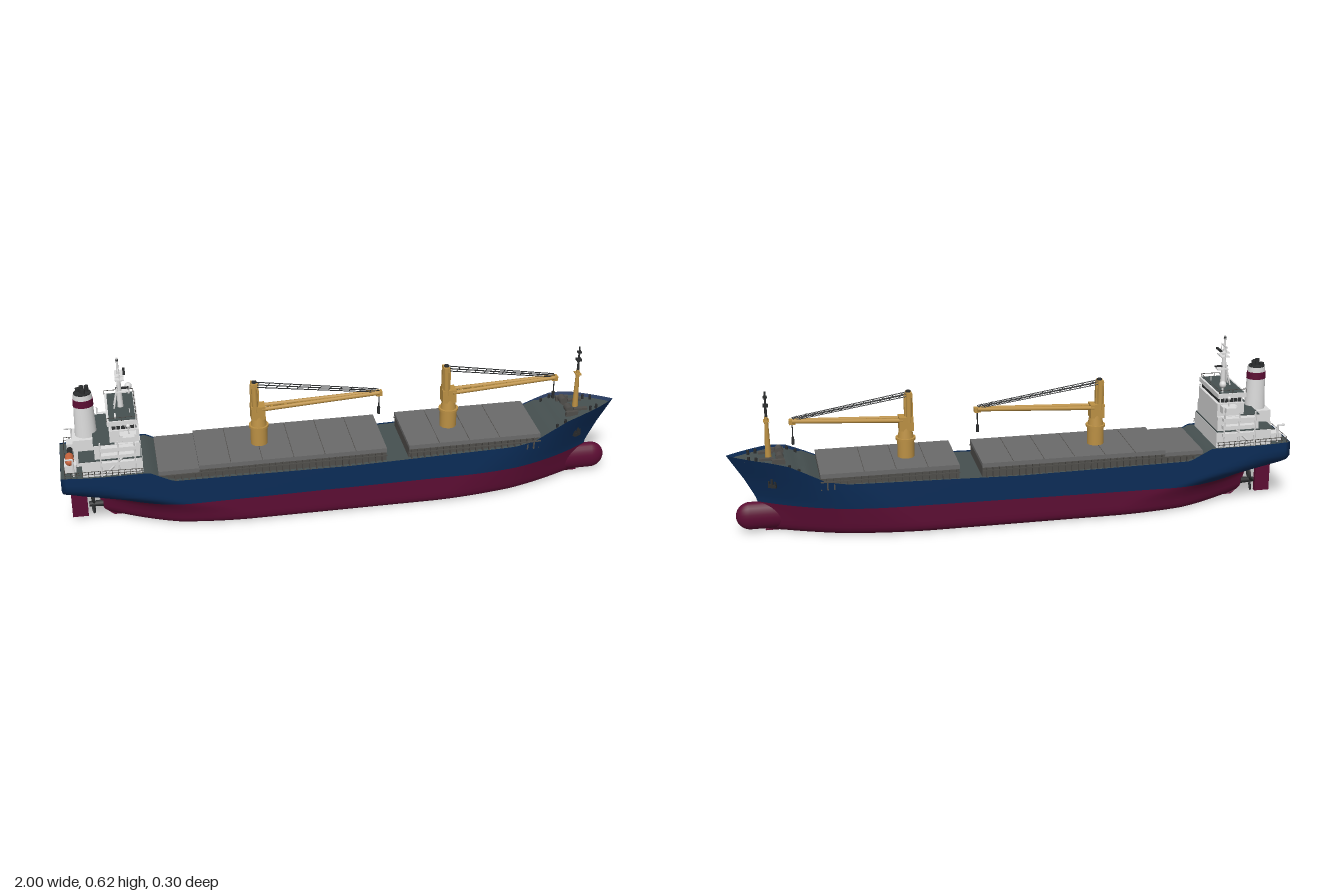
import * as THREE from 'three';
import { mergeGeometries } from 'three/addons/utils/BufferGeometryUtils.js';

const { lerp, clamp, smoothstep } = THREE.MathUtils;
const mat = (name, color) => {
  const m = new THREE.MeshStandardMaterial({ color, side: THREE.DoubleSide });
  m.name = name;
  return m;
};

// small geometry helpers
const box = (w, h, d, x, y, z) => new THREE.BoxGeometry(w, h, d).translate(x, y, z);
const span = (x0, x1, y0, y1, z0, z1) => box(x1 - x0, y1 - y0, z1 - z0, (x0 + x1) / 2, (y0 + y1) / 2, (z0 + z1) / 2);
const cyl = (rTop, rBase, y0, y1, x, z, n = 20) =>
  new THREE.CylinderGeometry(rTop, rBase, y1 - y0, n).translate(x, (y0 + y1) / 2, z);
const ball = (r, x, y, z) => new THREE.SphereGeometry(r, 16, 12).translate(x, y, z);
function rod(a, b, r, n = 6) {
  const p = new THREE.Vector3(...a), d = new THREE.Vector3(...b).sub(p), len = d.length();
  const q = new THREE.Quaternion().setFromUnitVectors(new THREE.Vector3(0, 1, 0), d.normalize());
  return new THREE.CylinderGeometry(r, r, len, n).translate(0, len / 2, 0).applyQuaternion(q).translate(...a);
}
const both = f => [...f(1), ...f(-1)];
const table = (pts, v) => {
  for (let i = 1; i < pts.length; i++)
    if (v <= pts[i][0]) return lerp(pts[i - 1][1], pts[i][1], clamp((v - pts[i - 1][0]) / (pts[i][0] - pts[i - 1][0]), 0, 1));
  return pts[pts.length - 1][1];
};

// hull form: sheer line, stem and stern profiles, half breadth
const sheer = X => table([[-1, .237], [-.7, .237], [-.62, .196], [0, .19], [.6, .204], [.68, .214], [.8, .274], [.86, .284], [1, .288]], X);
const stem = y => table([[0, .88], [.1, .9], [.13, .908], [.2, .945], [.288, 1]], y);
const stern = y => table([[0, -.83], [.03, -.865], [.09, -.88], [.105, -.9], [.12, -.945], [.135, -.975], [.15, -.992], [.18, -1]], y);
const waterline = X => .103 + .009 * X;
function breadth(X, y) {
  const k = clamp(y / .28, 0, 1);
  const s = lerp(.3, .62, k), t = Math.max(0, (X - s) / (1 - s));
  const bow = 1 - t ** lerp(1.7, 2.3, k);
  const s2 = lerp(-.35, -.85, smoothstep(y, .02, .2)), t2 = Math.max(0, (s2 - X) / (s2 + 1));
  const aft = 1 - (1 - .9 * smoothstep(y, .085, .19)) * t2 ** 1.8;
  const bilge = y < .03 ? .03 * (1 - Math.sqrt(1 - (1 - y / .03) ** 2)) : 0;
  return Math.max(0, .139 * bow * aft - bilge);
}
function hullPoint(X, y) {
  let x = X;
  if (X > .6) x = lerp(.6, stem(y), (X - .6) / .4);
  if (X < -.6) x = lerp(-.6, stern(y), (-.6 - X) / .4);
  return [x, y, breadth(X, y)];
}
function surface(nu, nv, fn, flip) {
  const pos = [], idx = [];
  for (let i = 0; i <= nu; i++) for (let j = 0; j <= nv; j++) pos.push(...fn(i, j));
  for (let i = 0; i < nu; i++) for (let j = 0; j < nv; j++) {
    const a = i * (nv + 1) + j, b = a + nv + 1;
    idx.push(...(flip ? [a, a + 1, b, b, a + 1, b + 1] : [a, b, a + 1, b, b + 1, a + 1]));
  }
  const g = new THREE.BufferGeometry();
  g.setAttribute('position', new THREE.Float32BufferAttribute(pos, 3));
  g.setIndex(idx);
  g.computeVertexNormals();
  return g;
}
const N = 120;
const station = i => -1 + 2 * Math.max(0, i - 1) / (N - 1);
// one side of the hull; the first station closes the transom on the centreline
const plating = (rows, yAt, side) => surface(N, rows.length - 1, (i, j) => {
  const X = station(i), p = hullPoint(X, yAt(X, rows[j]));
  return [p[0], p[1], i === 0 || rows[j] < 0 ? 0 : p[2] * side];
}, side < 0);

export function createModel() {
  const M = {
    navy: mat('navy hull', 0x0b2c57), red: mat('bottom red', 0x5c0d33), deck: mat('deck green grey', 0x465050),
    hatch: mat('hatch grey', 0x6a6a6a), steel: mat('coaming grey', 0x4f4d4a), white: mat('house white', 0xdcdcdc),
    gold: mat('crane yellow', 0xbb9044), dark: mat('dark fittings', 0x2b2d2e), orange: mat('lifeboat orange', 0xc8643c),
  };
  const ship = new THREE.Group();
  ship.name = 'cargoShip';
  const add = (name, m, geos, parent = ship) => {
    const mesh = new THREE.Mesh(geos.length > 1 ? mergeGeometries(geos) : geos[0], m);
    mesh.name = name;
    parent.add(mesh);
    return mesh;
  };

  // hull
  const low = [-1, 0, .03, .1, .18, .3, .45, .6, .75, .88, 1], high = [0, .08, .16, .25, .35, .5, .65, .8, 1];
  add('lowerHull', M.red, both(s => [plating(low, (X, f) => Math.max(0, f) * waterline(X), s)]));
  add('upperHull', M.navy, both(s => [plating(high, (X, f) => lerp(waterline(X), sheer(X), f), s)]));
  add('bulbousBow', M.red, [new THREE.CapsuleGeometry(.05, .3, 10, 24).rotateZ(-Math.PI / 2).scale(1, 1, .66).translate(.78, .06, 0)]);
  add('mainDeck', M.deck, [surface(N, 2, (i, j) => {
    const X = station(i), p = hullPoint(X, sheer(X) - (X > .76 ? .012 : .004));
    return [p[0], p[1], p[2] * .99 * (1 - j)];
  })]);
  add('rudder', M.red, [span(-.975, -.92, .008, .113, -.008, .008), cyl(.008, .008, .1, .16, -.94, 0)]);
  const prop = [new THREE.CylinderGeometry(.009, .012, .05, 12).rotateZ(Math.PI / 2).translate(-.89, .052, 0)];
  for (let i = 0; i < 4; i++)
    prop.push(new THREE.SphereGeometry(1, 10, 8).scale(.004, .02, .011).rotateY(.6).translate(0, .022, 0)
      .rotateX(i * Math.PI / 2 + .4).translate(-.9, .052, 0));
  add('propeller', M.dark, prop);
  add('anchors', M.dark, both(s => {
    const [x, y, z] = hullPoint(.89, .198);
    return [box(.007, .034, .014, 0, .004, 0), box(.028, .012, .014, 0, -.01, 0), box(.005, .02, .012, .012, -.002, 0),
      box(.005, .02, .012, -.012, -.002, 0)].map(g => g.rotateY(.5 * s).translate(x, y, z * s));
  }));

  // cargo hatches: ribbed coamings, covers with panel seams
  const ribs = [], coaming = [], covers = [], seams = [];
  for (const [x0, x1, top] of [[-.67, -.53, .23], [-.53, .13, .24], [.21, .69, .242]]) {
    coaming.push(span(x0, x1, .18, top - .013, -.119, .119));
    covers.push(span(x0, x1, top - .016, top, -.126, .126));
    for (let x = x0 + .01; x < x1; x += .0235)
      ribs.push(...both(s => [box(.005, top - .2, .014, x, (top + .17) / 2, .125 * s)]));
    for (let x = x0 + .11; x < x1 - .05; x += .11) seams.push(box(.002, .001, .25, x, top, 0));
    ribs.push(...both(s => [box(x1 - x0, .004, .004, (x0 + x1) / 2, .216, .133 * s)]));
  }
  add('hatchCoamings', M.steel, coaming);
  add('coamingRibs', M.steel, ribs);
  add('hatchCovers', M.hatch, covers);
  add('coverSeams', M.steel, seams);

  // deck cranes
  for (const [x, len] of [[-.305, .43], [.38, .39]]) {
    const crane = new THREE.Group();
    crane.name = 'deckCrane';
    crane.position.x = x;
    ship.add(crane);
    add('pedestal', M.gold, [cyl(.03, .03, .2, .305, 0, 0), cyl(.035, .035, .305, .313, 0, 0), cyl(.022, .028, .313, .35, 0, 0)], crane);
    const tower = [box(.05, .05, .044, -.002, .365, 0), box(.02, .018, .036, -.014, .468, 0)];
    tower.push(...both(s => [rod([-.012, .37, .014 * s], [-.014, .475, .009 * s], .0105, 8)]));
    tower.push(box(.03, .09, .016, -.012, .425, 0));
    add('craneTower', M.gold, tower, crane);
    const root = .378, tip = .398, jib = both(s => [rod([.01, root, .016 * s], [len, tip, .006 * s], .0075, 8)]);
    for (let i = 1; i < 9; i++) jib.push(box(.01, .006, .026 - i * .002, len * i / 9, lerp(root, tip, i / 9), 0));
    jib.push(box(.022, .016, .022, len, tip - .003, 0));
    add('jib', M.gold, jib, crane);
    const ropes = both(s => [0, .01].map(d => rod([-.01, .464 + d, .01 * s], [len, tip + d * .7 + .003, .006 * s], .0018, 5)));
    for (let i = 0; i < 24; i++) {
      const at = (k, z, d) => [lerp(-.01, len, k / 24), lerp(.464, tip + .003, k / 24) + d, z * .008];
      ropes.push(rod(at(i, 1, i % 2 * .009), at(i + 1, -1, (i + 1) % 2 * .009), .0013, 4));
    }
    ropes.push(rod([len, tip, 0], [len, .335, 0], .002), box(.009, .026, .01, len, .326, 0));
    ropes.push(cyl(.009, .009, .476, .482, -.012, 0, 10));
    add('hoistRopes', M.dark, ropes, crane);
  }

  // accommodation block
  add('house', M.white, [
    span(-.925, -.72, .23, .29, -.122, .122), span(-.88, -.725, .29, .345, -.112, .112),
    span(-.825, -.725, .345, .392, -.102, .102), span(-.82, -.735, .392, .412, -.096, .096),
    span(-.83, -.725, .412, .429, -.106, .106),
  ]);
  add('houseDecks', M.deck, [span(-.935, -.722, .29, .293, -.12, .12), span(-.882, -.81, .345, .348, -.11, .11),
    span(-.822, -.733, .429, .431, -.1, .1)]);
  const wings = [span(-.79, -.735, .362, .388, -.132, .132)];
  wings.push(...both(s => [box(.04, .018, .018, -.762, .379, .139 * s),
    ...[.282, .31, .338].map(y => box(.12, .012, .024, -.8, y, .121 * s)),
    ...[-.86, -.8, -.745].map(x => cyl(.003, .003, .235, .365, x, .13 * s, 6)),
    rod([-.85, .24, .128 * s], [-.78, .31, .128 * s], .004)]));
  add('bridgeWings', M.white, wings);
  const panes = [];
  for (let i = 0; i < 13; i++) panes.push(box(.004, .014, .0125, -.734, .402, (i - 6) * .0147));
  for (let i = 0; i < 5; i++) panes.push(...both(s => [box(.0125, .014, .004, -.808 + i * .0155, .402, .096 * s)]));
  add('bridgeWindows', M.dark, panes);

  // railings around the poop, house roof
  const rails = [];
  for (const y of [.247, .257]) {
    rails.push(...both(s => [rod([-.985, y, .126 * s], [-.72, y, .136 * s], .0012, 4)]), rod([-.985, y, -.126], [-.985, y, .126], .0012, 4));
  }
  for (let i = 0; i < 14; i++) rails.push(...both(s => [rod([-.985 + i * .02, .235, (.126 + i * .0007) * s], [-.985 + i * .02, .257, (.126 + i * .0007) * s], .0012, 4)]));
  rails.push(...both(s => [rod([-.83, .442, .102 * s], [-.73, .442, .102 * s], .0012, 4),
    ...[-.83, -.78, -.73].map(x => rod([x, .428, .102 * s], [x, .442, .102 * s], .0012, 4))]), rod([-.73, .442, -.102], [-.73, .442, .102], .0012, 4));
  add('railings', M.steel, rails);

  // funnel with band and exhaust pipes
  const funnel = (y0, y1, grow = 0) => {
    const w = y => .078 - (y - .29) * .07 + grow;
    return new THREE.CylinderGeometry(w(y1) / 2, w(y0) / 2, y1 - y0, 24).scale(1, 1, .85).translate(-.903, (y0 + y1) / 2, 0);
  };
  add('funnelCasing', M.white, [span(-.95, -.86, .23, .335, -.045, .045), funnel(.33, .492)]);
  add('funnelBand', M.red, [funnel(.448, .474, .003)]);
  add('exhaustPipes', M.dark, [funnel(.492, .497, -.004), ...[[-.918, -.01], [-.9, .012], [-.888, -.008], [-.905, 0]]
    .map(([x, z], i) => cyl(.008, .008, .49, .508 + i * .004, x, z, 10))]);

  // stern fittings and lifeboat
  add('lifeboatCradle', M.white, [span(-.985, -.945, .235, .262, .03, .085), span(-.975, -.935, .235, .265, -.1, -.06),
    ...both(s => [rod([-.955, .235, .11 * s], [-.955, .3, .11 * s], .004), rod([-.955, .3, .11 * s], [-.98, .3, .11 * s], .003)])]);
  add('lifeboat', M.orange, [new THREE.CapsuleGeometry(.015, .032, 8, 14).rotateX(Math.PI / 2).translate(-.966, .273, .057)]);
  add('mooringWinches', M.dark, [-.06, 0, .06].map(z => new THREE.CylinderGeometry(.01, .01, .03, 12).rotateX(Math.PI / 2).translate(-.965, .245, z * .9 - .01)));

  // radar mast, radome and aerials
  add('radarMast', M.white, [cyl(.006, .011, .42, .56, -.778, 0, 10), cyl(.003, .005, .56, .615, -.778, 0, 8),
    box(.03, .004, .05, -.775, .54, 0), box(.03, .003, .05, -.775, .555, 0), box(.006, .004, .056, -.778, .575, 0),
    box(.006, .003, .022, -.778, .602, 0), box(.04, .004, .03, -.772, .49, 0),
    ...both(s => [rod([-.8, .43, .014 * s], [-.779, .53, .003 * s], .003), rod([-.775, .54, .023 * s], [-.775, .58, .023 * s], .0015)])]);
  add('radarScanners', M.dark, [box(.008, .006, .045, -.758, .562, 0), box(.045, .005, .008, -.768, .5, 0), ball(.005, -.778, .606, 0)]);
  add('domes', M.white, [cyl(.004, .004, .42, .455, -.745, -.09, 8), ball(.0125, -.745, .46, -.09),
    ...both(s => [cyl(.002, .003, .38, .415, -.76, .122 * s, 6), ball(.007, -.76, .418, .122 * s)]),
    cyl(.002, .002, .42, .445, -.8, .085, 6), box(.006, .006, .022, -.8, .442, .085), cyl(.002, .002, .42, .445, -.75, .05, 6)]);

  // forecastle: foremast, windlasses, bollards
  add('foremast', M.gold, [cyl(.006, .011, .27, .42, .857, 0, 12), box(.02, .004, .03, .857, .405, 0)]);
  add('foremastTop', M.dark, [cyl(.003, .005, .42, .51, .857, 0, 8), box(.018, .008, .02, .857, .46, 0), box(.014, .006, .014, .857, .49, 0)]);
  add('windlasses', M.steel, both(s => [new THREE.CylinderGeometry(.014, .014, .035, 14).rotateX(Math.PI / 2).translate(.82, .283, .035 * s),
    box(.045, .018, .012, .825, .275, .06 * s), box(.05, .008, .014, .865, .278, .035 * s)]));
  const bollards = both(s => [[.76, .1], [.79, .098], [.9, .045], [.925, .035]].map(([x, z]) => cyl(.005, .005, sheer(x) - .015, sheer(x) + .004, x, z * s, 8)));
  add('bollards', M.dark, bollards);
  return ship;
}
